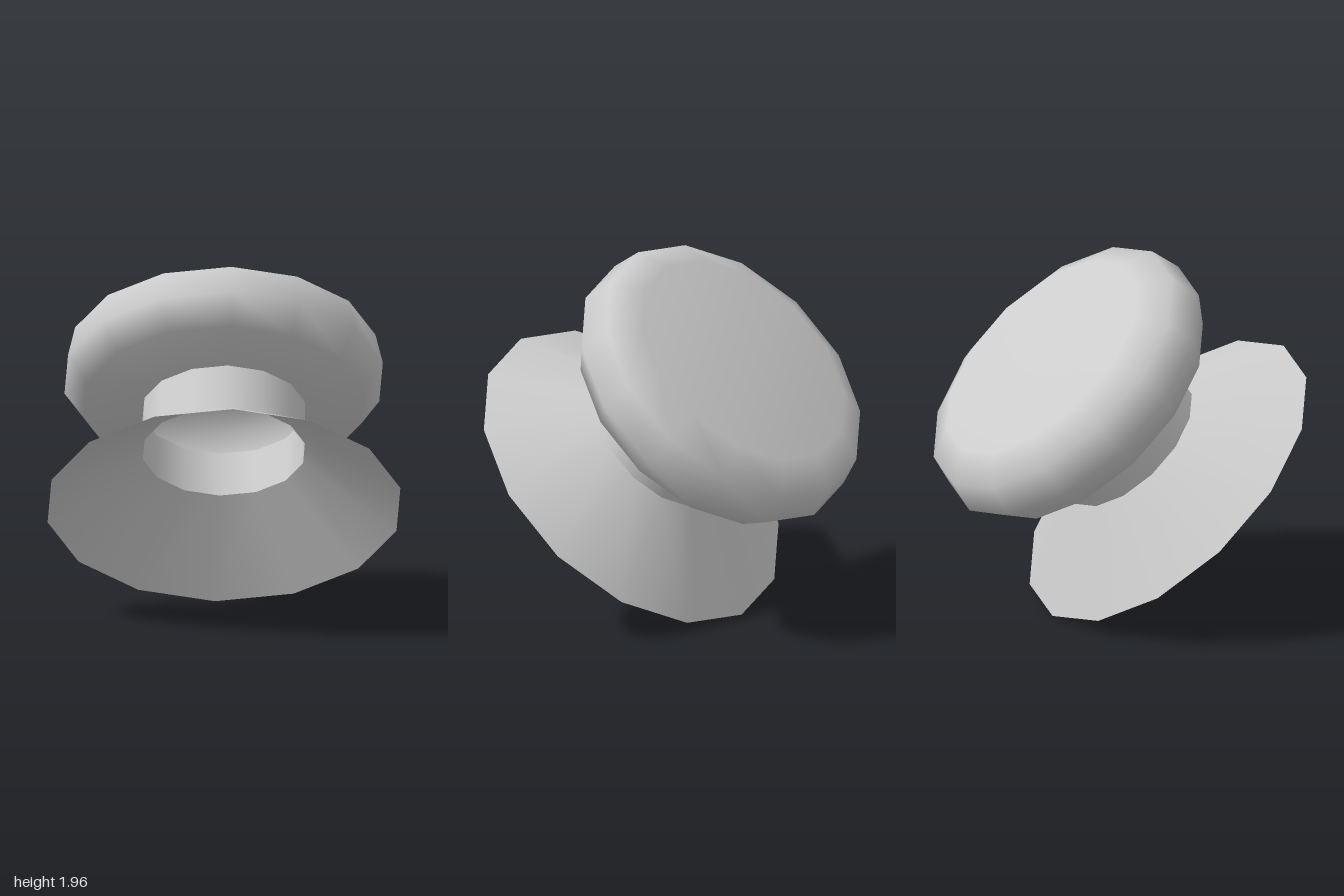
import * as THREE from 'three';

const SIDES = 14;
const PHASE = 0.047;  // small turn of the polygon about its own axis
const TILT = 0.754;   // axis leans back from vertical

export function createModel() {
  const grey = new THREE.MeshStandardMaterial({ color: 0xcccccc, side: THREE.DoubleSide });
  grey.name = 'light grey';

  const model = new THREE.Group();
  model.name = 'suctionKnob';

  // One hollow shell of revolution; profile points are [radius, height along axis]
  function addShell(name, profile) {
    const points = profile.map(([r, h]) => new THREE.Vector2(r, h));
    const mesh = new THREE.Mesh(new THREE.LatheGeometry(points, SIDES, PHASE), grey);
    mesh.name = name;
    mesh.position.set(0, 0.67, 0.292);
    mesh.rotation.x = -TILT;
    model.add(mesh);
  }

  // Flared open cup
  addShell('flaredCup', [[0.971, 0], [0.446, 0.345]]);
  // Open tube joining cup and knob
  addShell('neck', [[0.446, 0.345], [0.446, 0.614]]);
  // Rounded hollow knob, open towards the neck
  addShell('knob', [
    [0.446, 0.614], [0.775, 0.656], [0.876, 0.816],
    [0.836, 1.0], [0.665, 1.097], [0, 1.097],
  ]);

  return model;
}
